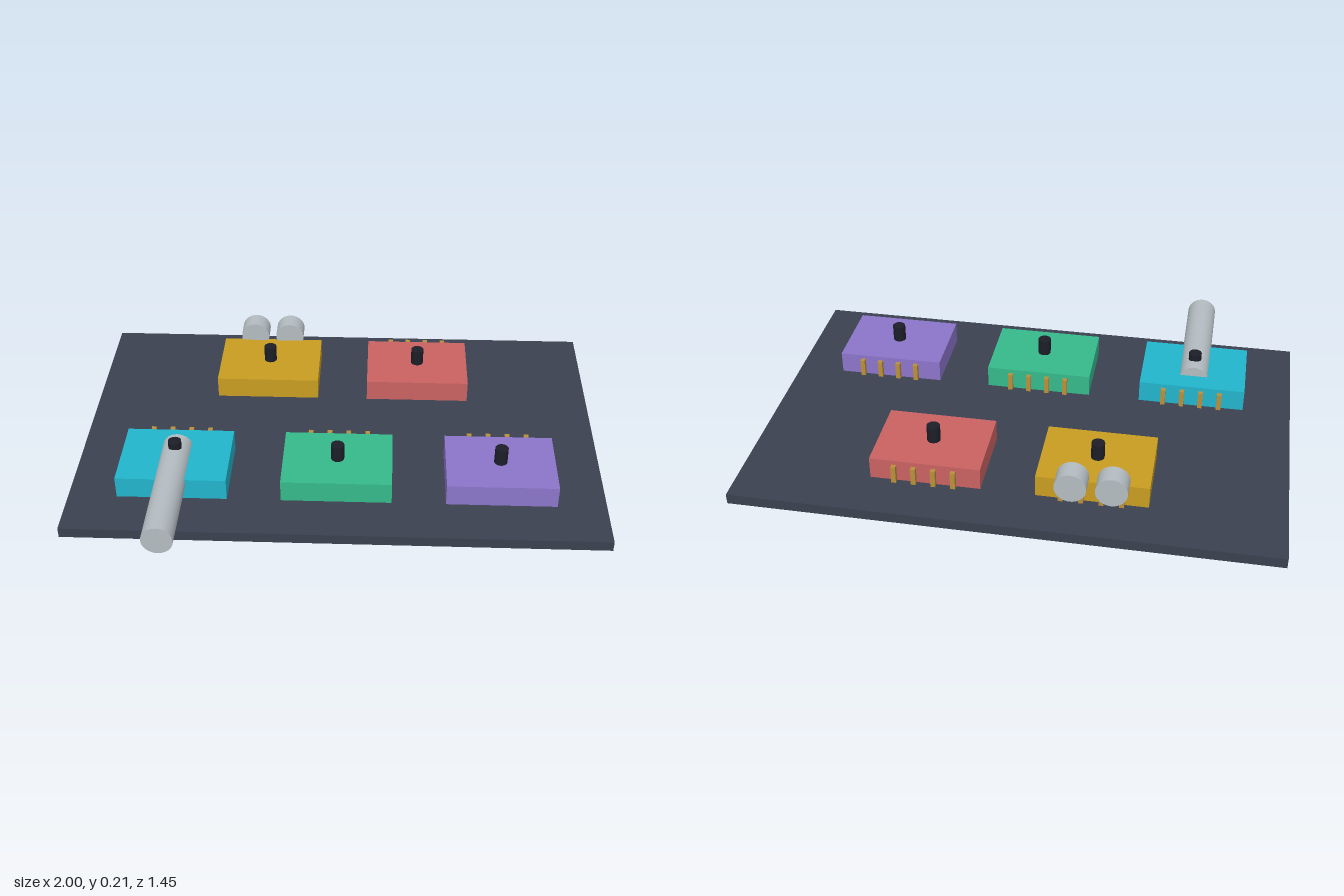
import * as THREE from 'three';

const mat = (name, color) => {
  const m = new THREE.MeshStandardMaterial({ color });
  m.name = name;
  return m;
};

export function createModel() {
  const model = new THREE.Group();
  model.name = 'moduleBoard';
  const steel = mat('steel', 0xb4bdc2);
  const black = mat('black', 0x1c1e27);
  const brass = mat('brass', 0xb98f3c);

  const add = (parent, name, geometry, material, x, y, z) => {
    const mesh = new THREE.Mesh(geometry, material);
    mesh.name = name;
    mesh.position.set(x, y, z);
    parent.add(mesh);
    return mesh;
  };

  // Base plate
  add(model, 'basePlate', new THREE.BoxGeometry(2, 0.04, 1.313), mat('slate', 0x3b4150), 0, 0.02, -0.069);

  // Five coloured modules, each with a knob and a row of pins at the back
  const body = new THREE.BoxGeometry(0.41, 0.085, 0.305);
  const knob = new THREE.CylinderGeometry(0.025, 0.025, 0.065, 20);
  const pin = new THREE.BoxGeometry(0.018, 0.068, 0.018);
  const modules = [
    ['cyan', 0x22b5cc, -0.61, 0.26],
    ['green', 0x36b98b, 0, 0.26],
    ['purple', 0x8b75ca, 0.61, 0.26],
    ['amber', 0xc99d22, -0.305, -0.397],
    ['red', 0xca6262, 0.305, -0.397],
  ];
  for (const [name, color, x, z] of modules) {
    const group = new THREE.Group();
    group.name = name + 'Module';
    group.position.set(x, 0, z);
    model.add(group);
    add(group, 'body', body, mat(name, color), 0, 0.0935, 0);
    add(group, 'knob', knob, black, 0, 0.167, 0);
    for (let i = 0; i < 4; i++) add(group, 'pin', pin, brass, (i - 1.5) * 0.073, 0.094, -0.173);
  }

  // Long tube lying over the front edge of the cyan module
  const tube = new THREE.CylinderGeometry(0.057, 0.057, 0.539, 32);
  add(model, 'longTube', tube.rotateX(Math.PI / 2), steel, -0.612, 0.118, 0.4565);

  // Pair of short drums behind the amber module
  const drum = new THREE.CylinderGeometry(0.058, 0.058, 0.078, 32).rotateX(Math.PI / 2);
  for (const side of [-1, 1]) add(model, 'drum', drum, steel, -0.308 + side * 0.073, 0.155, -0.581);

  return model;
}
